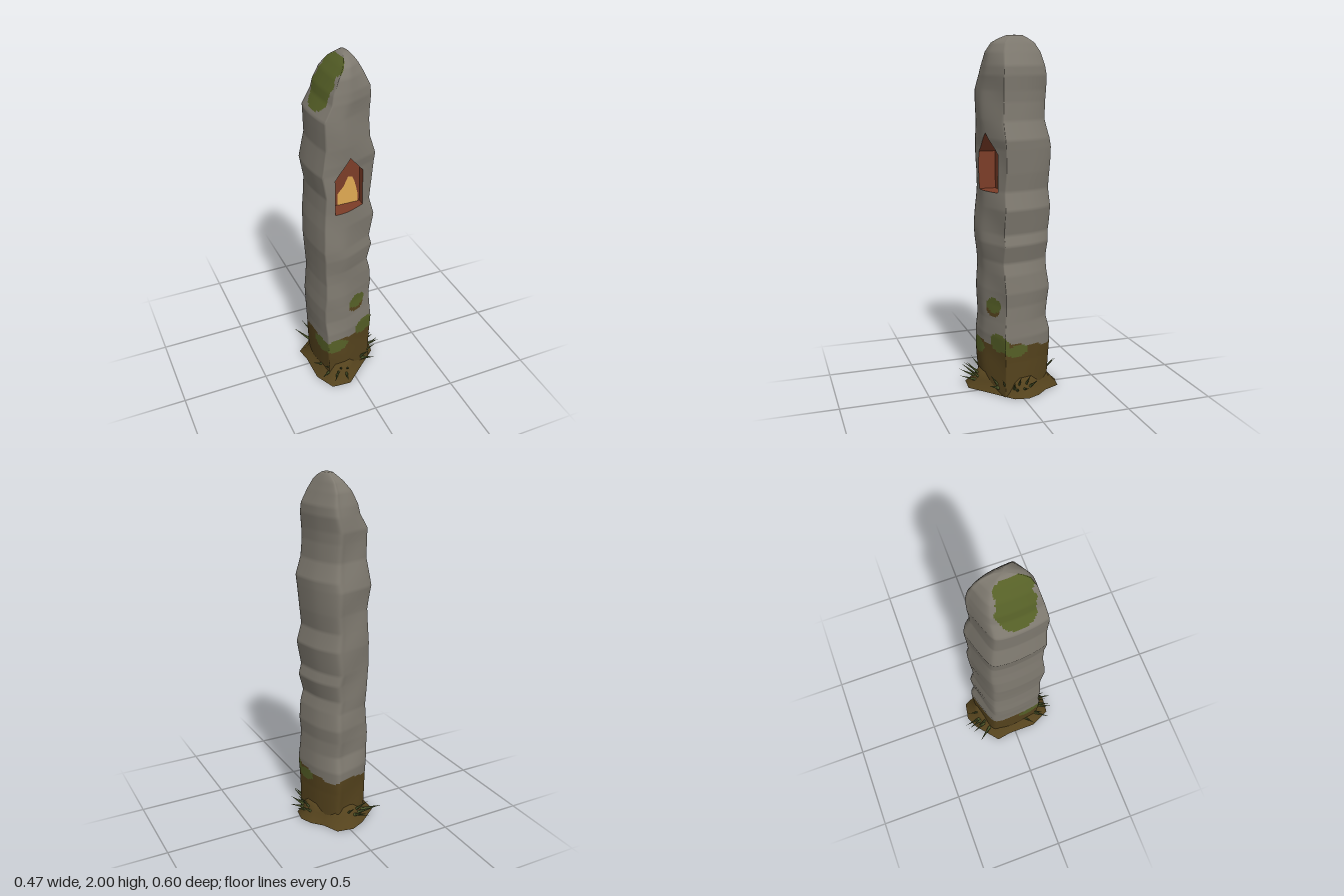
import * as THREE from 'three';

const mat = (name, color, side = THREE.FrontSide) => {
  const m = new THREE.MeshStandardMaterial({ color, side });
  m.name = name;
  return m;
};
const { lerp, smoothstep } = THREE.MathUtils;

// Pillar extents by height: y, xMin, xMax, zMin, zMax
const EXTENTS = [
  [0, -.175, .145, -.195, .17], [.2, -.185, .145, -.2, .175], [.34, -.188, .152, -.208, .178],
  [.43, -.195, .145, -.188, .168], [.52, -.197, .14, -.195, .168], [.6, -.19, .147, -.2, .17],
  [.7, -.185, .138, -.188, .168], [.77, -.188, .12, -.19, .17], [.87, -.195, .146, -.196, .178],
  [.93, -.2, .13, -.197, .178], [1.07, -.196, .156, -.205, .172], [1.17, -.186, .13, -.2, .167],
  [1.27, -.182, .142, -.2, .166], [1.4, -.205, .153, -.206, .166], [1.45, -.197, .157, -.198, .17],
  [1.55, -.18, .125, -.177, .172], [1.65, -.184, .118, -.177, .17], [1.71, -.186, .12, -.18, .168],
  [1.79, -.138, .126, -.178, .163], [1.84, -.125, .122, -.17, .155], [1.91, -.09, .09, -.15, .138],
  [1.96, -.05, .064, -.115, .11], [1.985, -.025, .048, -.075, .07], [2, -.01, .035, -.045, .03],
];
function extents(y) {
  let k = 0;
  while (k < EXTENTS.length - 2 && y > EXTENTS[k + 1][0]) k++;
  const a = EXTENTS[k], b = EXTENTS[k + 1], t = (y - a[0]) / (b[0] - a[0]);
  return a.map((v, i) => lerp(v, b[i], t));
}

// Front face depth, bending back toward +x
const frontZ = (x) => {
  const t = x + 0.04;
  return 0.172 - 0.42 * (t + Math.sqrt(t * t + 0.0016)) / 2;
};
const curve = (pts, closed = false) =>
  new THREE.CatmullRomCurve3(pts.map(([x, z]) => new THREE.Vector3(x, 0, z)), closed);
// Sides and back, from the front right corner round to the front left corner
const AROUND = curve([[.158, frontZ(.158)], [.157, .06], [.13, -.08], [.075, -.185], [.045, -.21],
  [0, -.2], [-.165, -.15], [-.188, -.13], [-.2, -.05], [-.19, .08], [-.17, frontZ(-.17)]]);

// Niche opening
const SILL = 1.16, SPRING = 1.37, APEX = 1.48, NL = -0.105, NR = 0.077, NC = -0.014, BACK = 0.07;
const FRONT = 44, REST = 84, COLS = FRONT + REST, ROWS = 200, CA = 10, CB = 30;
const inHole = (j, i) => j >= SILL * 100 - .5 && j < APEX * 100 - .5 && i >= CA && i < CB;

function pillarRing(y) {
  const [, x0, x1, z0, z1] = extents(y);
  const mapX = (x) => lerp(x0, x1, (x + .2) / .36), unX = (x) => lerp(-.2, .16, (x - x0) / (x1 - x0));
  const mapZ = (z) => lerp(z0, z1, (z + .21) / .382);
  // Columns follow the niche edges, close at its apex, then spread out again
  let open = 1;
  if (y > SPRING) open = y < APEX ? (APEX - y) / (APEX - SPRING) : smoothstep(y, APEX, 1.7);
  if (open < 0.001) open = 0;
  let l = lerp(NC, NL, open), r = lerp(NC, NR, open);
  const free = smoothstep(y, 1.5, 1.75);
  const left = mapX(-.17), right = mapX(.158);
  l = lerp(l, lerp(left, right, CA / FRONT), free);
  r = lerp(r, lerp(left, right, CB / FRONT), free);
  const ring = [];
  for (let i = 0; i < COLS; i++) {
    if (i < FRONT) {
      const x = i < CA ? lerp(left, l, i / CA)
        : i <= CB ? lerp(l, r, (i - CA) / (CB - CA)) : lerp(r, right, (i - CB) / (FRONT - CB));
      ring.push(new THREE.Vector3(x, y, mapZ(frontZ(unX(x))) + .003 * Math.sin(17 * y + 14 * x)));
    } else {
      const p = AROUND.getPoint((i - FRONT) / REST);
      ring.push(new THREE.Vector3(mapX(p.x), y, mapZ(p.z) + .003 * Math.sin(17 * y + 14 * p.x)));
    }
  }
  return ring;
}

// Closed loft with a fan on top; pick(point, j, i) gives a material index, or -1 for a gap
function loft(rings, pick) {
  const n = rings[0].length, pos = rings.flat().flatMap((p) => [p.x, p.y, p.z]), lists = [[], [], []];
  const last = rings.length - 1, mid = new THREE.Vector3();
  for (let j = 0; j < last; j++) for (let i = 0; i < n; i++) {
    const k = (i + 1) % n;
    mid.copy(rings[j][i]).add(rings[j + 1][k]).multiplyScalar(.5);
    const m = pick(mid, j, i);
    if (m < 0) continue;
    const a = j * n + i, b = j * n + k;
    lists[m].push(a, b, b + n, a, b + n, a + n);
  }
  const c = rings[last].reduce((s, p) => s.add(p), new THREE.Vector3()).divideScalar(n);
  pos.push(c.x, c.y + .001, c.z);
  for (let i = 0; i < n; i++)
    lists[pick(c, last, i)].push(last * n + i, last * n + (i + 1) % n, rings.length * n);
  const g = new THREE.BufferGeometry();
  g.setAttribute('position', new THREE.Float32BufferAttribute(pos, 3));
  g.setIndex(lists.flat());
  let start = 0;
  lists.forEach((l, m) => { g.addGroup(start, l.length, m); start += l.length; });
  g.computeVertexNormals();
  return g;
}

// Moss patches: centre and radii
const MOSS = [
  [.045, .515, .14, .065, .042, .07], [-.12, .245, .17, .095, .045, .08],
  [.11, .305, .12, .085, .055, .06], [.15, .265, .02, .05, .035, .08],
  [-.19, .24, .1, .05, .05, .07], [-.11, 1.86, .02, .085, .2, .105], [-.06, 1.95, .02, .047, .12, .1],
];
function surface(p, j, i) {
  if (inHole(j, i)) return -1;
  const w = .1 * Math.sin(60 * p.x + 40 * p.z) + .08 * Math.sin(75 * p.y + 50 * p.z);
  const inside = ([cx, cy, cz, rx, ry, rz]) =>
    ((p.x - cx) / rx) ** 2 + ((p.y - cy) / ry) ** 2 + ((p.z - cz) / rz) ** 2 < 1 + w;
  if (MOSS.some(inside)) return 2;
  if (inside([.04, .49, .14, .06, .04, .07])) return 1;
  return p.y < .28 + .3 * Math.max(0, p.x) * (p.z > 0) + .012 * Math.sin(28 * p.x + 22 * p.z) ? 1 : 0;
}

export function createModel() {
  const group = new THREE.Group();
  const stone = mat('stone', 0x7f7a70), earth = mat('earth', 0x55431d), moss = mat('moss', 0x566027);
  const clay = mat('nicheClay', 0x7c3d28, THREE.DoubleSide), glow = mat('glow', 0xe0aa52);
  const grass = mat('grass', 0x55602f);
  const add = (name, geo, m) => {
    const mesh = new THREE.Mesh(geo, m);
    mesh.name = name;
    group.add(mesh);
    return mesh;
  };

  // Weathered pillar
  const rings = Array.from({ length: ROWS + 1 }, (_, j) => pillarRing(j / 100));
  add('pillar', loft(rings, surface), [stone, earth, moss]);

  // Niche walls run back from the opening's edge
  const rim = [], j0 = Math.round(SILL * 100), j1 = Math.round(APEX * 100);
  for (let i = CA; i <= CB; i++) rim.push(rings[j0][i]);
  for (let j = j0 + 1; j <= j1; j++) rim.push(rings[j][CB]);
  for (let j = j1 - 1; j >= j0; j--) rim.push(rings[j][CA]);
  const wall = [];
  for (let k = 0; k < rim.length - 1; k++) {
    const a = rim[k], b = rim[k + 1];
    for (const [p, z] of [[a, a.z], [a, BACK], [b, BACK], [a, a.z], [b, BACK], [b, b.z]])
      wall.push(p.x, p.y, z);
  }
  const wallGeo = new THREE.BufferGeometry();
  wallGeo.setAttribute('position', new THREE.Float32BufferAttribute(wall, 3));
  wallGeo.computeVertexNormals();
  add('nicheWalls', wallGeo, clay);
  const plate = (pts, z) =>
    new THREE.ShapeGeometry(new THREE.Shape(pts.map(([x, y]) => new THREE.Vector2(x, y)))).translate(0, 0, z);
  add('nicheBack', plate([[NL, SILL], [NR, SILL], [NR, SPRING], [NC, APEX], [NL, SPRING]], BACK), clay);
  add('nicheGlow', plate([[-.055, SILL], [.066, SILL], [.066, 1.2], [.056, 1.25], [.045, 1.29], [.032, 1.32],
    [.008, 1.325], [-.004, 1.3], [-.018, 1.27], [-.04, 1.245], [-.052, 1.23]], BACK + .003), glow);

  // Earth mound round the foot
  const outline = [[-.16, .245], [-.05, .255], [.08, .14], [.185, .05], [.2, -.03], [.17, -.1], [.115, -.16],
    [.075, -.25], [-.02, -.268], [-.1, -.232], [-.23, -.125], [-.215, -.04], [-.215, .13]];
  const mound = [[0, 1], [.025, .9], [.055, .8], [.1, .7]].map(([y, s]) =>
    outline.map(([x, z]) => new THREE.Vector3(x * s, y, z * s)));
  add('mound', loft(mound, () => 1), [stone, earth, moss]);
  const base = new THREE.ShapeGeometry(new THREE.Shape(outline.map(([x, z]) => new THREE.Vector2(x, z))));
  add('moundBase', base.rotateX(Math.PI / 2), earth);

  // Grass blades: tip x, z and height, leaning out from the foot
  const tufts = new THREE.Group();
  tufts.name = 'grassTufts';
  group.add(tufts);
  const tips = [
    [-.22, -.245, .09], [-.155, -.275, .11], [-.11, -.285, .07], [-.092, -.3, .1], [-.03, -.265, .13], [-.13, -.24, .14],
    [.215, -.075, .11], [.225, -.02, .07], [.195, .015, .13], [.235, .04, .07], [.22, .06, .11], [.2, -.04, .14],
    [.175, .12, .12], [.14, .185, .08], [.185, .05, .09], [.11, .17, .13],
    [-.22, .235, .09], [-.16, .285, .08], [-.145, .275, .12], [-.082, .3, .07], [-.235, .125, .12], [-.11, .25, .14],
    [-.19, .2, .14], [-.06, .26, .12],
  ];
  const up = new THREE.Vector3(0, 1, 0);
  tips.forEach(([x, z, y], k) => {
    const tip = new THREE.Vector3(x, y, z), foot = new THREE.Vector3(x * .62, .035, z * .62);
    const dir = tip.clone().sub(foot), len = dir.length();
    const blade = new THREE.Mesh(new THREE.ConeGeometry(.011, len, 5).translate(0, len / 2, 0), grass);
    blade.name = 'blade' + k;
    blade.position.copy(foot);
    blade.quaternion.setFromUnitVectors(up, dir.normalize());
    tufts.add(blade);
  });
  return group;
}
